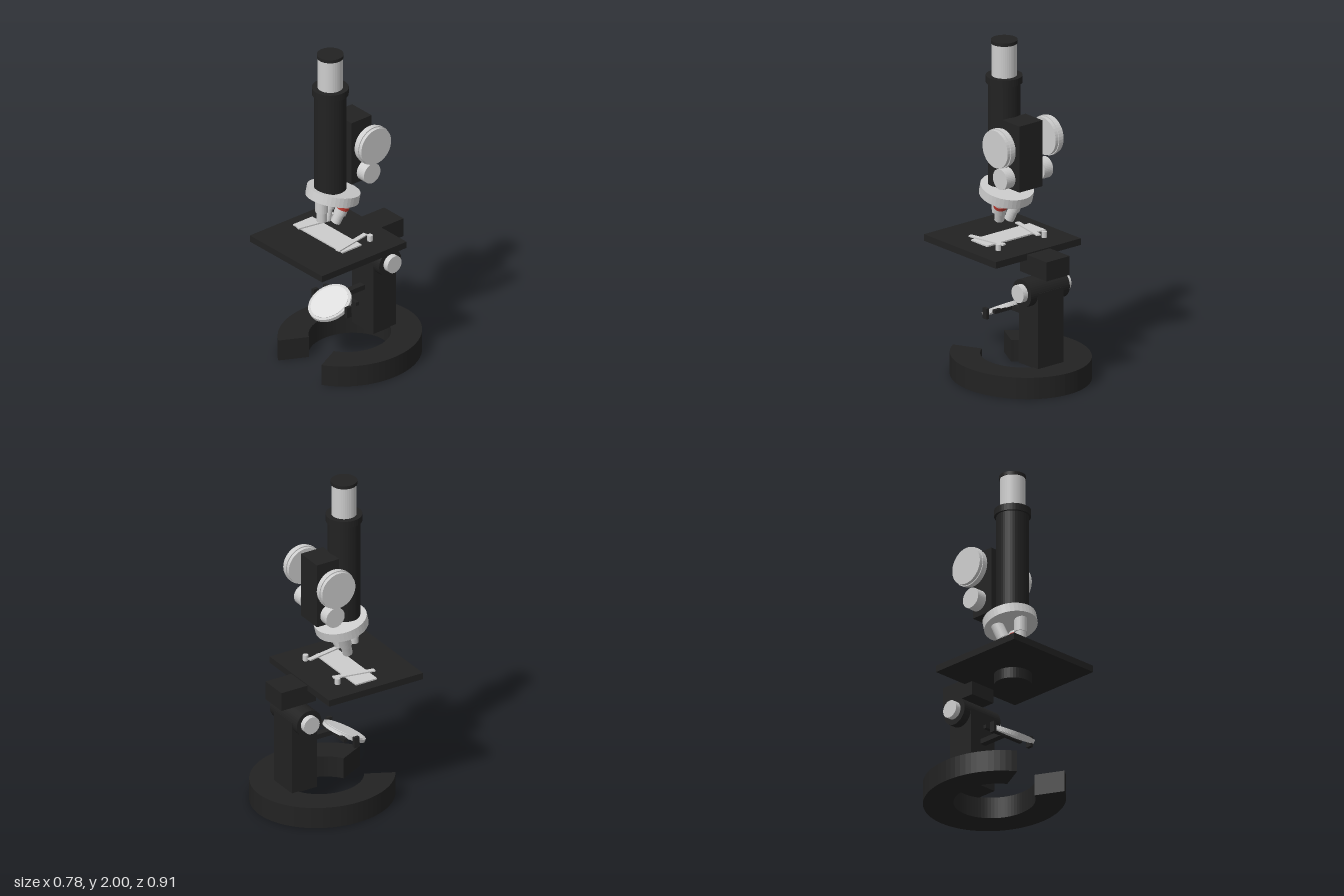
import * as THREE from 'three';

const mat = (name, color) => {
  const m = new THREE.MeshStandardMaterial({ color });
  m.name = name;
  return m;
};

export function createModel() {
  const black = mat('black enamel', 0x222222);
  const silver = mat('silver metal', 0xcdcdcd);
  const pale = mat('mirror glass', 0xdcdcdc);
  const red = mat('red band', 0xb83a30);
  const root = new THREE.Group();
  root.name = 'microscope';

  const add = (name, geo, material, x = 0, y = 0, z = 0, parent = root) => {
    const mesh = new THREE.Mesh(geo, material);
    mesh.name = name;
    mesh.position.set(x, y, z);
    parent.add(mesh);
    return mesh;
  };
  const box = (w, h, d) => new THREE.BoxGeometry(w, h, d);
  // faceted cylinder along y
  const cyl = (r, h, r2 = r, n = 40) => {
    const g = new THREE.CylinderGeometry(r, r2, h, n).toNonIndexed();
    g.computeVertexNormals();
    return g;
  };
  // faceted cylinder along x
  const cylX = (r, h) => cyl(r, h).rotateZ(Math.PI / 2);

  // horseshoe base, open to the front
  const gap = 0.51, a0 = -Math.PI / 2 + gap, a1 = Math.PI * 1.5 - gap;
  const foot = new THREE.Shape();
  foot.absellipse(0, 0, 0.39, 0.43, a0, a1, false);
  foot.absellipse(0, 0, 0.225, 0.245, a1, a0, true);
  foot.closePath();
  const footGeo = new THREE.ExtrudeGeometry(foot, { depth: 0.13, bevelEnabled: false, curveSegments: 32 });
  add('horseshoeBase', footGeo.rotateX(-Math.PI / 2), black, 0, 0, -0.025);

  // pillar with its hinge
  add('pillar', box(0.19, 0.46, 0.17), black, 0, 0.355, -0.205);
  add('hinge', cylX(0.083, 0.29), black, 0, 0.578, -0.205);

  // mirror on its arm and fork
  add('mirrorArm', box(0.04, 0.03, 0.175), black, 0, 0.4, -0.035);
  add('mirrorCrossbar', box(0.29, 0.022, 0.022), black, 0, 0.4, 0.042);
  const mirror = new THREE.Group();
  mirror.name = 'mirror';
  mirror.position.set(0, 0.374, 0.123);
  mirror.rotation.x = 0.5;
  root.add(mirror);
  add('mirrorRim', cyl(0.132, 0.02), silver, 0, 0, 0, mirror);
  add('mirrorFace', cyl(0.115, 0.004), pale, 0, 0.011, 0, mirror);
  add('mirrorBack', cyl(0.115, 0.004), pale, 0, -0.011, 0, mirror);

  // stage
  add('stagePlate', box(0.638, 0.04, 0.635), black, 0, 0.78, 0.1375);
  add('stageSupport', box(0.172, 0.115, 0.235), black, 0, 0.735, -0.2375);
  add('condenser', cyl(0.11, 0.065), black, 0, 0.712, 0.125);
  add('slide', box(0.437, 0.009, 0.143), silver, -0.029, 0.805, 0.119);

  // mirrored pairs
  for (const s of [-1, 1]) {
    add('hingeKnob', cylX(0.053, 0.036), silver, s * 0.162, 0.582, -0.208);
    add('mirrorFork', box(0.02, 0.065, 0.034), black, s * 0.146, 0.373, 0.112);
    add('clipPost', cyl(0.016, 0.036, 0.016, 20), silver, s * 0.172, 0.818, -0.03);
    const clip = add('stageClip', box(0.028, 0.008, 0.255), silver, s * 0.153, 0.823, 0.092);
    clip.rotation.y = s * 0.19;
    add('coarseKnob', cylX(0.112, 0.06), silver, s * 0.18, 1.423, -0.045);
    add('coarseKnobRidge', cylX(0.118, 0.018), silver, s * 0.18, 1.423, -0.045);
    add('fineKnob', cylX(0.062, 0.064), silver, s * 0.142, 1.232, -0.045);
  }

  // body tube, focusing block and eyepiece
  add('focusBlock', box(0.172, 0.4, 0.15), black, 0, 1.352, -0.04);
  add('bodyTube', cyl(0.094, 0.62), black, 0, 1.44, 0.122);
  add('tubeCollar', cyl(0.106, 0.042), black, 0, 1.764, 0.122);
  add('drawTube', cyl(0.073, 0.2), silver, 0, 1.882, 0.122);
  add('eyepieceCap', cyl(0.077, 0.02), black, 0, 1.99, 0.122);

  // tilted revolving nosepiece with three converging objectives
  const tilt = 0.23;
  const nose = new THREE.Group();
  nose.name = 'nosepiece';
  nose.position.set(0, 1.085, 0.102);
  nose.rotation.x = -tilt;
  root.add(nose);
  add('nosepieceDisc', cyl(0.156, 0.057), silver, 0, 0, 0, nose);
  const lenses = [[0, 0.15, false], [1, 0.15, true], [2, 0.17, false]];
  for (const [i, length, banded] of lenses) {
    const turn = new THREE.Group();
    turn.name = 'objectiveTurn';
    turn.rotation.y = i * Math.PI * 2 / 3;
    nose.add(turn);
    const lens = new THREE.Group();
    lens.name = 'objective';
    lens.position.set(0, -0.02, 0.082);
    lens.rotation.x = tilt;
    turn.add(lens);
    const upper = length * 0.6;
    add('objectiveBarrel', cyl(0.037, upper, 0.037, 28), silver, 0, -upper / 2, 0, lens);
    add('objectiveTip', cyl(0.031, length - upper, 0.029, 28), silver, 0, -(upper + length) / 2, 0, lens);
    if (banded) add('objectiveBand', cyl(0.039, 0.02, 0.039, 28), red, 0, -0.045, 0, lens);
  }
  return root;
}
